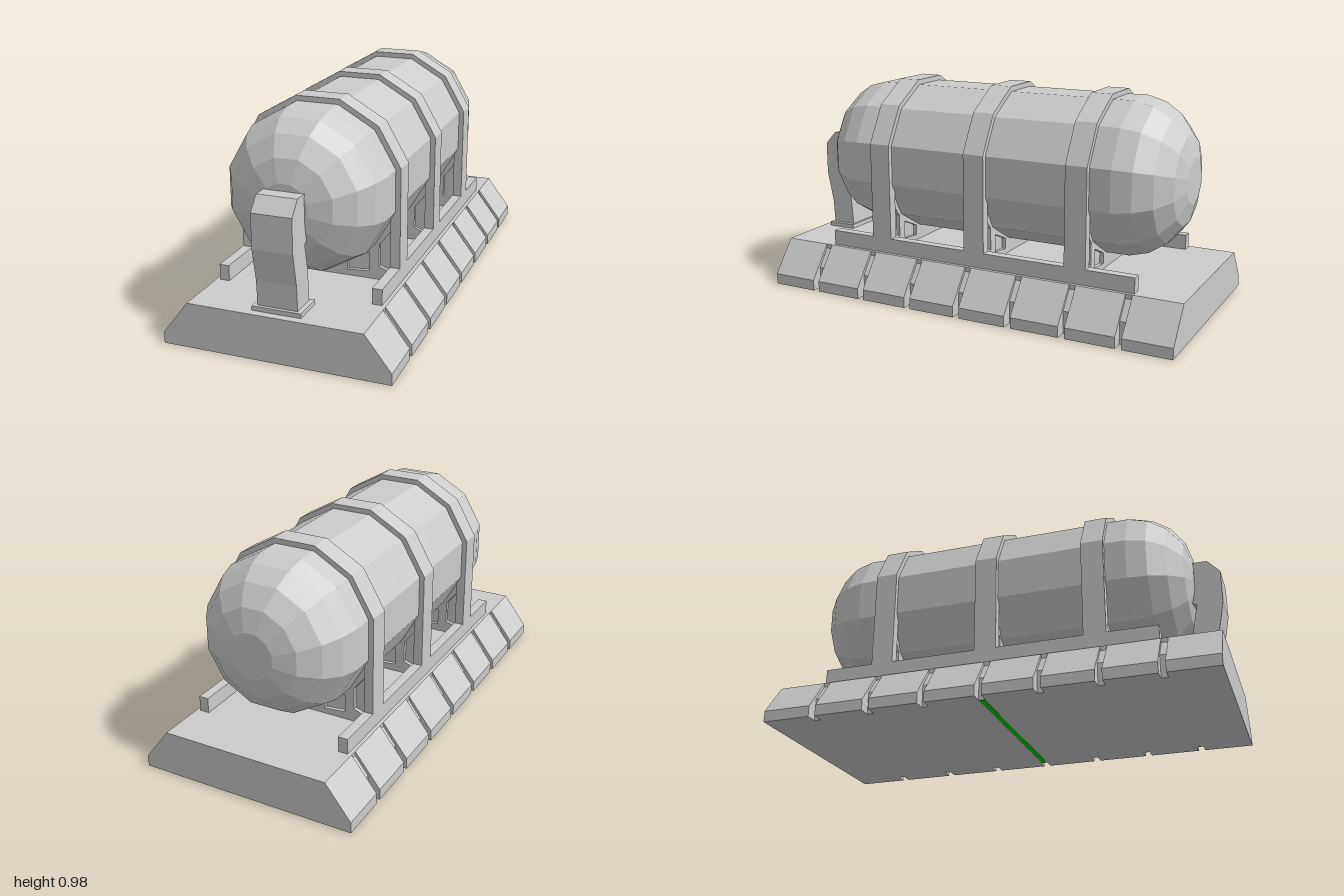
import * as THREE from 'three';

const grey = new THREE.MeshStandardMaterial({ color: 0xcccccc, flatShading: true });
const green = new THREE.MeshStandardMaterial({ color: 0x00cc00 });
const TANK_Y = 0.615, TANK_Z = -0.02;
const COS15 = Math.cos(Math.PI / 12);

export function createModel() {
  const model = new THREE.Group();

  const add = (name, geometry, x = 0, y = 0, z = 0, material = grey) => {
    const mesh = new THREE.Mesh(geometry, material);
    mesh.name = name;
    mesh.position.set(x, y, z);
    model.add(mesh);
    return mesh;
  };
  const toPoints = (list) => list.map(([x, y]) => new THREE.Vector2(x, y));
  // Completes a right-hand outline with its mirror image
  const mirrored = (half) => [...half, ...half.map(([x, y]) => [-x, y]).reverse()];
  // Extrudes an x-y outline along z, centred on z = 0
  const slab = (outline, depth, holes = []) => {
    const shape = new THREE.Shape(toPoints(outline));
    holes.forEach((h) => shape.holes.push(new THREE.Path(toPoints(h))));
    return new THREE.ExtrudeGeometry(shape, { depth, bevelEnabled: false }).translate(0, 0, -depth / 2);
  };

  // Base: sloped blocks separated by narrow side grooves around a core
  const pitch = 0.255, gap = 0.03;
  const blockOutline = mirrored([[0.5, 0], [0.5, 0.05], [0.385, 0.2]]);
  for (let i = 0; i < 8; i++) {
    const z0 = i === 0 ? -1 : (i - 4) * pitch + gap / 2;
    const z1 = i === 7 ? 1 : (i - 3) * pitch - gap / 2;
    add('baseBlock', slab(blockOutline, z1 - z0), 0, 0, (z0 + z1) / 2);
  }
  const coreOutline = mirrored([[0.445, 0], [0.445, 0.1], [0.385, 0.18], [0.385, 0.2]]);
  for (let i = -3; i <= 3; i++) add('baseGroove', slab(coreOutline, gap), 0, 0, i * pitch);
  add('undersideStrip', new THREE.BoxGeometry(0.89, 0.004, 0.026), 0, 0.001, 0, green);

  // Twelve-sided tank with rounded ends: [radius to flat, z from tank middle]
  const cap = [[0, 0.888], [0.1, 0.888], [0.195, 0.86], [0.275, 0.797], [0.323, 0.72], [0.345, 0.635]];
  const profile = [...cap.map(([r, z]) => [r, -z]), ...cap.slice().reverse()]
    .map(([r, z]) => new THREE.Vector2(r / COS15, z));
  const tank = new THREE.LatheGeometry(profile, 12, Math.PI / 12).rotateX(Math.PI / 2);
  add('tank', tank, 0, TANK_Y, TANK_Z);

  // Straps: faceted arch over the tank with straight legs
  const arch = (apothem, legX) => {
    const pts = [[legX, 0.2]];
    if (legX < apothem) pts.push([legX, TANK_Y - 0.1]);
    for (let i = 0; i < 6; i++) {
      const a = (-15 + 30 * i) * Math.PI / 180;
      if (i > 0) pts.push([Math.cos(a) * apothem / COS15, TANK_Y + Math.sin(a) * apothem / COS15]);
    }
    // Right half only; the left comes from mirroring
    return pts.filter(([x]) => x > 0);
  };
  const outer = arch(0.368, 0.368);
  const inner = arch(0.335, 0.325);
  const strapOutline = [...mirrored(outer), ...mirrored(inner).reverse()];

  // Saddle plates under the tank, with recessed panels
  const saddleOutline = mirrored([[0.33, 0.2], [0.33, 0.55]]);
  const panels = [
    [[0.325, 0.24], [0.325, 0.43], [0.27, 0.36], [0.27, 0.26]],
    [[0.225, 0.235], [0.225, 0.32], [0.125, 0.275], [0.125, 0.225]],
  ];
  const holes = panels.flatMap((p) => [p, p.map(([x, y]) => [-x, y])]);
  for (const z of [0.47, TANK_Z, -0.51]) {
    add('strap', slab(strapOutline, 0.1), 0, 0, z);
    add('saddlePlate', slab(saddleOutline, 0.07, holes), 0, 0, z);
    add('saddlePanel', slab(saddleOutline, 0.035), 0, 0, z);
  }

  // Long side rails joining the strap feet
  for (const side of [1, -1]) {
    add('sideRail', new THREE.BoxGeometry(0.044, 0.07, 1.525), side * 0.346, 0.235, TANK_Z);
  }

  // Bent front duct running from its foot plate into the tank end
  const ductSide = [
    [0.835, 0.21], [0.95, 0.21], [0.956, 0.33], [0.985, 0.475], [0.985, 0.625],
    [0.93, 0.685], [0.82, 0.685], [0.82, 0.5], [0.87, 0.475], [0.845, 0.35],
  ];
  const duct = slab(ductSide, 0.176).rotateY(-Math.PI / 2);
  add('frontDuct', duct);
  add('ductFoot', new THREE.BoxGeometry(0.216, 0.02, 0.14), 0, 0.21, 0.895);

  return model;
}
